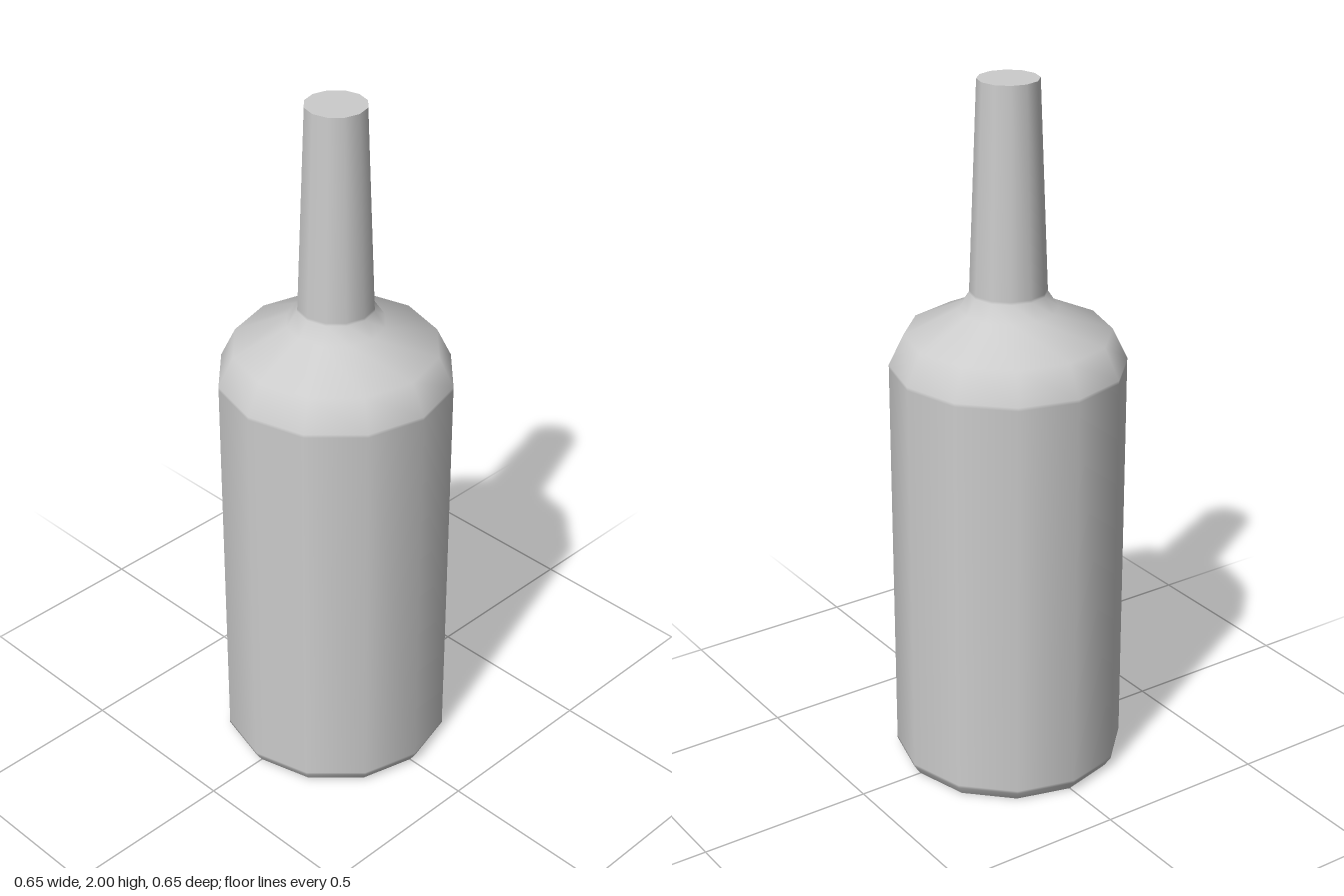
import * as THREE from 'three';

const SIDES = 12;

export function createModel() {
  const group = new THREE.Group();
  const material = new THREE.MeshStandardMaterial({ color: 0xcccccc });

  const add = (name, geometry, y = 0) => {
    const mesh = new THREE.Mesh(geometry, material);
    mesh.name = name;
    mesh.position.y = y;
    group.add(mesh);
  };
  const disc = (radius, tilt) => new THREE.CircleGeometry(radius, SIDES).rotateX(tilt);

  // Body, shoulder and neck in one turned skin; the close rings keep the long walls evenly shaded
  const profile = [
    [0.308, 0], [0.327, 0.028], [0.327, 0.036],
    [0.327, 1.2], [0.327, 1.21],
    [0.285, 1.297], [0.137, 1.367],
    [0.107, 1.412], [0.1065, 1.42], [0.084, 2],
  ].map(([r, y]) => new THREE.Vector2(r, y));
  add('bottleBody', new THREE.LatheGeometry(profile, SIDES));

  // Flat closed ends
  add('base', disc(0.308, Math.PI / 2));
  add('neckTop', disc(0.084, -Math.PI / 2), 2);

  return group;
}
